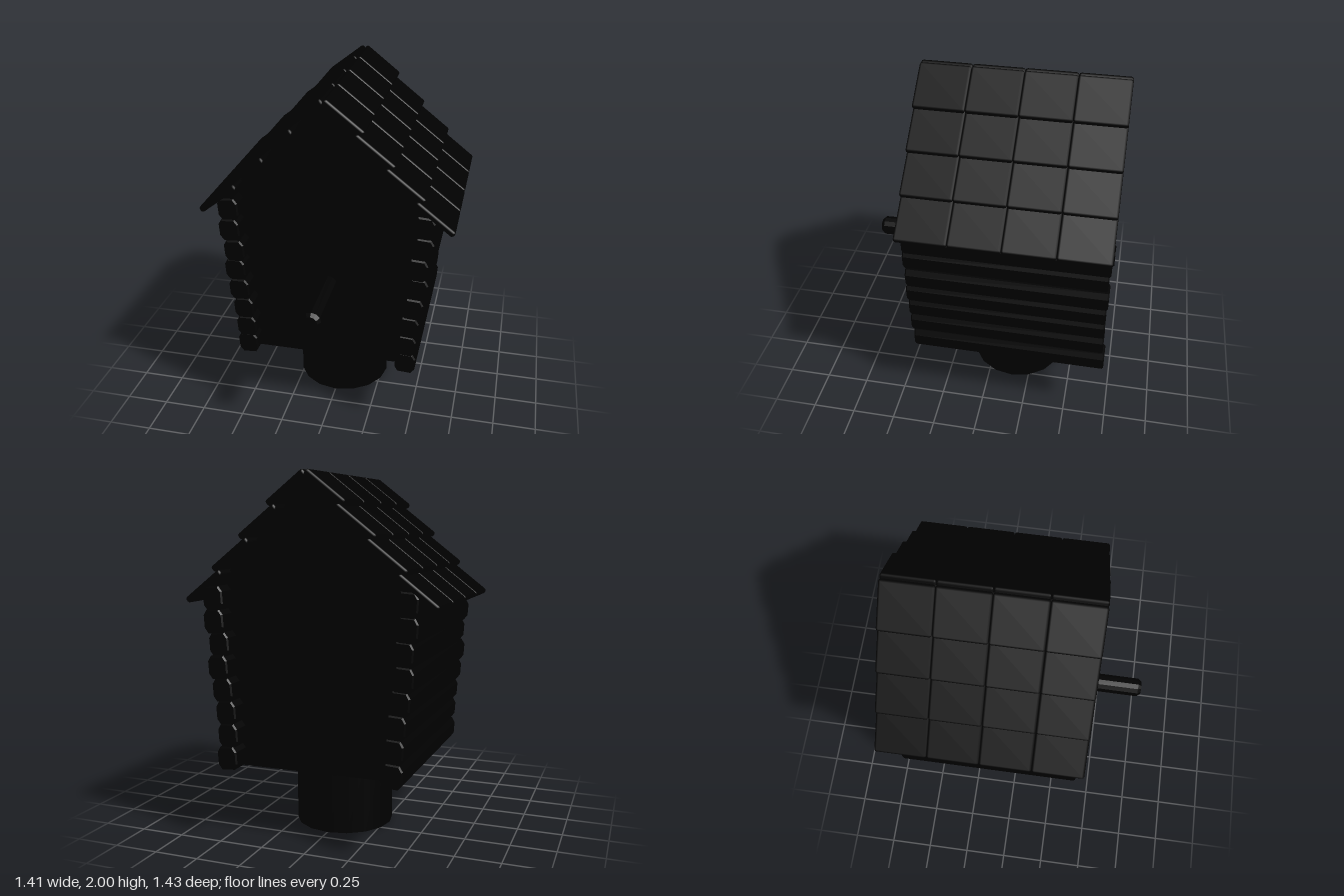
import * as THREE from 'three';
import { RoundedBoxGeometry } from 'three/addons/geometries/RoundedBoxGeometry.js';

const material = new THREE.MeshStandardMaterial({ color: 0x000000 });
const openMaterial = new THREE.MeshStandardMaterial({ color: 0x000000, side: THREE.DoubleSide });

function add(parent, name, geometry, mat = material) {
  const mesh = new THREE.Mesh(geometry, mat);
  mesh.name = name;
  parent.add(mesh);
  return mesh;
}

// Log with an eight-sided section, running along z
function logGeometry(w, h, d) {
  const x = w / 2, y = h / 2, cx = 0.02, cy = 0.03, b = 0.008;
  const pts = [[-x + cx, -y], [x - cx, -y], [x, -y + cy], [x, y - cy],
    [x - cx, y], [-x + cx, y], [-x, y - cy], [-x, -y + cy]];
  const shape = new THREE.Shape(pts.map(([px, py]) => new THREE.Vector2(px, py)));
  const g = new THREE.ExtrudeGeometry(shape, {
    depth: d - 2 * b, bevelEnabled: true, bevelThickness: b, bevelSize: b, bevelOffset: -b, bevelSegments: 1,
  });
  return g.translate(0, 0, -d / 2 + b);
}

export function createModel() {
  const model = new THREE.Group();
  model.name = 'birdhouse';
  const midZ = -0.145;

  // Hollow round post, open at the bottom
  const post = new THREE.CylinderGeometry(0.28, 0.28, 0.4, 16, 1, true);
  add(model, 'post', post, openMaterial).position.set(0, 0.2, midZ);

  // House core with gabled ends, set well back from the log ends
  const gable = new THREE.Shape([
    [-0.47, 0.4], [0.47, 0.4], [0.56, 1.405], [0, 1.98], [-0.56, 1.405],
  ].map(([x, y]) => new THREE.Vector2(x, y)));
  const core = new THREE.ExtrudeGeometry(gable, { depth: 0.91, bevelEnabled: false });
  add(model, 'houseBody', core).position.z = -0.6;

  // Perch with a chamfered tip
  const perchProfile = [[0, 0], [0.055, 0], [0.055, 0.41], [0.038, 0.43], [0, 0.43]];
  const perch = new THREE.LatheGeometry(perchProfile.map(([r, y]) => new THREE.Vector2(r, y)), 12)
    .toNonIndexed();
  perch.computeVertexNormals();
  const perchMesh = add(model, 'perch', perch);
  perchMesh.rotation.x = Math.PI / 2 + 0.01;
  perchMesh.position.set(0, 0.877, 0.286);

  const roof = new THREE.Group();
  roof.name = 'roof';
  const walls = new THREE.Group();
  walls.name = 'logWalls';
  model.add(roof, walls);

  const outerX = [0.53, 0.53, 0.54, 0.56, 0.58, 0.575, 0.6, 0.6];
  const shiftZ = [-0.012, 0, 0.002, 0.004, -0.003, 0.006, -0.002, -0.004];
  const log = logGeometry(0.116, 0.128, 1.116);
  const tile = new RoundedBoxGeometry(0.264, 0.036, 0.281, 1, 0.013);
  const slope = Math.atan2(0.155, 0.2);

  for (const side of [1, -1]) {
    // Stack of logs, leaning outward toward the eaves
    outerX.forEach((x, i) => {
      const mesh = add(walls, side > 0 ? 'leftLog' : 'rightLog', log);
      mesh.position.set(side * (x - 0.061), 0.463 + i * 0.1245, midZ + shiftZ[i]);
      mesh.rotation.z = -side * 0.07;
    });

    // Overlapping shingles, four rows of four
    for (let row = 0; row < 4; row++) {
      for (let col = 0; col < 4; col++) {
        const mesh = add(roof, side > 0 ? 'leftShingle' : 'rightShingle', tile);
        mesh.position.set(side * (0.107 + row * 0.162), 1.906 - row * 0.17, 0.275 - col * 0.281);
        mesh.rotation.z = -side * slope;
      }
    }
  }
  return model;
}
